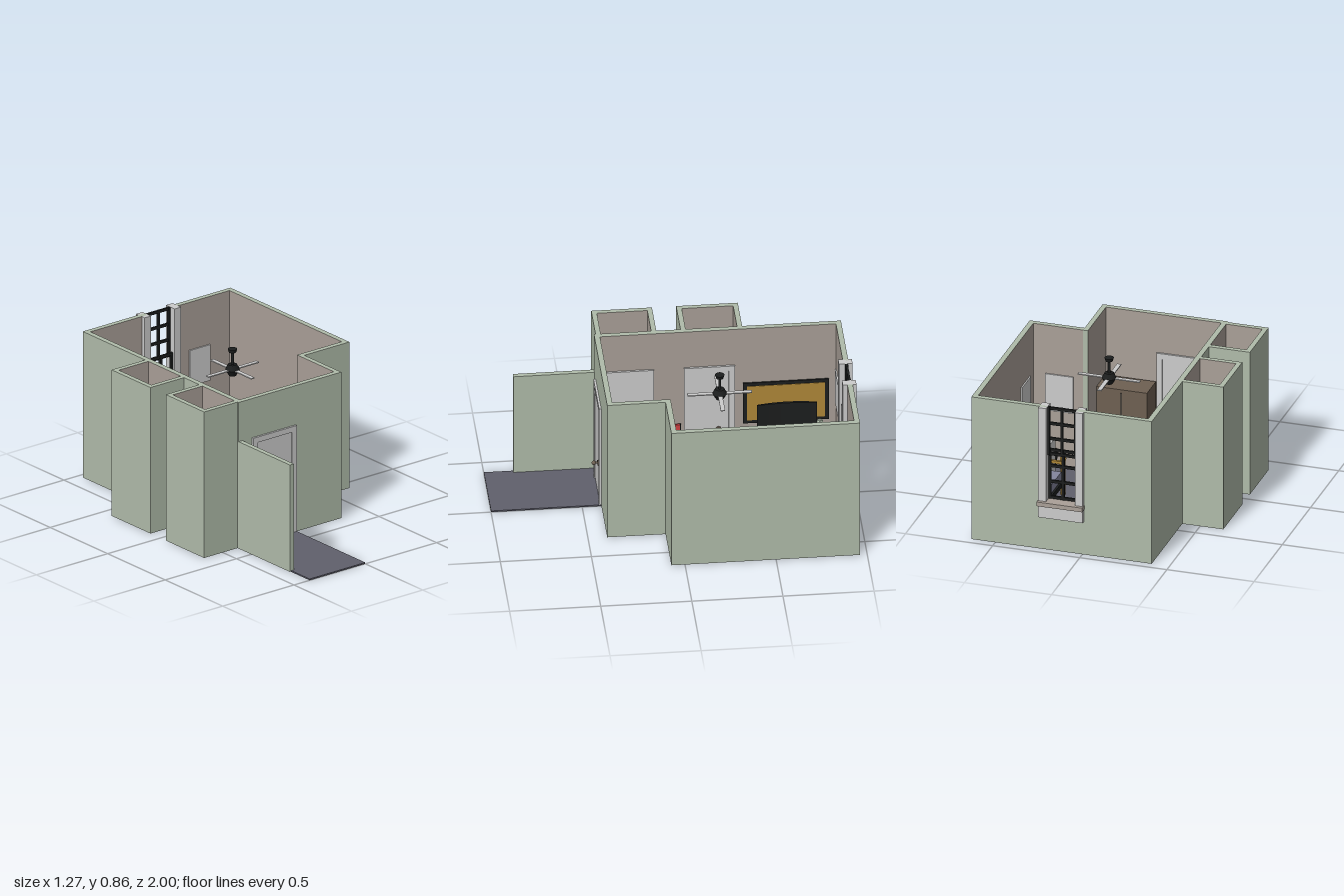
import * as THREE from 'three';

const mat = (name, color) => {
  const m = new THREE.MeshStandardMaterial({ color });
  m.name = name;
  return m;
};

export function createModel() {
  const root = new THREE.Group();
  root.name = 'room';
  const green = mat('sage wall', 0xb0bcaa), taupe = mat('taupe interior', 0xaaa098);
  const slate = mat('slate floor', 0x60606c), white = mat('pale grey', 0xcccccc);
  const black = mat('black', 0x1c1e1e), brown = mat('brown wood', 0x6e6052);
  const gold = mat('golden wood', 0xb08838), red = mat('red', 0xd04040);
  const lavender = mat('lavender', 0x84859c), grey = mat('desk grey', 0x55555d);

  const add = (name, geo, m, parent = root) => {
    const mesh = new THREE.Mesh(geo, m);
    mesh.name = name;
    parent.add(mesh);
    return mesh;
  };
  const box = (name, m, x0, x1, y0, y1, z0, z1, parent) => {
    const b = add(name, new THREE.BoxGeometry(x1 - x0, y1 - y0, z1 - z0), m, parent);
    b.position.set((x0 + x1) / 2, (y0 + y1) / 2, (z0 + z1) / 2);
    return b;
  };
  const cyl = (name, m, r0, r1, h, x, y, z, parent, seg = 20) => {
    const c = add(name, new THREE.CylinderGeometry(r0, r1, h, seg), m, parent);
    c.position.set(x, y, z);
    return c;
  };
  const group = (name) => {
    const g = new THREE.Group();
    g.name = name;
    root.add(g);
    return g;
  };

  // Floor slab with closets and entry path
  const F = 0.008, H = 0.86;
  const outline = [[-0.39, -0.95], [0.62, -0.95], [0.62, 0.065], [0.31, 0.065], [0.31, 0.385], [0, 0.385], [0, 1], [-0.39, 1],
    [-0.39, 0.376], [-0.625, 0.376], [-0.625, 0.063], [-0.39, 0.063], [-0.39, -0.09], [-0.625, -0.09], [-0.625, -0.408], [-0.39, -0.408]];
  const slab = new THREE.ExtrudeGeometry(new THREE.Shape(outline.map(([x, z]) => new THREE.Vector2(x, -z))), { depth: F, bevelEnabled: false });
  add('floor', slab.rotateX(-Math.PI / 2), slate);

  // Walls: sides listed in "inside" get the interior colour
  const sides = ['+x', '-x', '+y', '-y', '+z', '-z'];
  const wall = (name, inside, x0, x1, z0, z1, y1 = H, y0 = 0.003) =>
    box(name, sides.map((s) => (inside.includes(s) ? taupe : green)), x0, x1, y0, y1, z0, z1);
  wall('backWallRight', ['+z'], -0.37, 0.03, -0.96, -0.93);
  wall('backWallLeft', ['+z'], 0.205, 0.605, -0.96, -0.93);
  wall('backWallBelowWindow', ['+z'], 0.03, 0.205, -0.96, -0.93, 0.27);
  wall('leftWall', ['-x'], 0.605, 0.635, -0.96, 0.075);
  wall('stepWall', ['-z'], 0.32, 0.605, 0.045, 0.075);
  wall('stepSideWall', ['-x'], 0.292, 0.32, 0.045, 0.395);
  wall('frontWall', ['-z'], -0.37, 0.292, 0.365, 0.395);
  [[-0.96, -0.39], [-0.39, -0.108], [-0.108, 0.081], [0.081, 0.358], [0.358, 0.395]].forEach(([a, b], i) =>
    wall('rightWall', i % 2 ? ['+x', '-x'] : ['+x'], -0.4, -0.37, a, b));
  wall('entryWall', [], -0.4, -0.372, 0.395, 0.84, 0.63);

  // Two closets on the right side
  for (const [a, b] of [[-0.418, -0.08], [0.053, 0.386]]) {
    wall('closetOuterWall', ['+x'], -0.635, -0.607, a, b);
    wall('closetBackSide', ['+z'], -0.607, -0.4, a, a + 0.028);
    wall('closetFrontSide', ['-z'], -0.607, -0.4, b - 0.028, b);
  }

  // Doors: frame, recessed-looking leaf and knob, built facing +z
  const door = (name, w, x, z, turn) => {
    const g = group(name);
    const t = 0.034;
    box('frameLeft', white, w / 2 - t, w / 2, F, 0.63, 0, 0.012, g);
    box('frameRight', white, -w / 2, -w / 2 + t, F, 0.63, 0, 0.012, g);
    box('frameTop', white, -w / 2 + t, w / 2 - t, 0.598, 0.63, 0, 0.012, g);
    box('leaf', white, -w / 2 + t, w / 2 - t, F, 0.598, 0, 0.006, g);
    const kx = w / 2 - 0.09;
    cyl('knobPlate', brown, 0.015, 0.015, 0.006, kx, 0.225, 0.009, g).rotation.x = Math.PI / 2;
    cyl('knobStem', brown, 0.006, 0.006, 0.02, kx, 0.225, 0.02, g).rotation.x = Math.PI / 2;
    add('knob', new THREE.SphereGeometry(0.012, 16, 12), brown, g).position.set(kx, 0.225, 0.032);
    g.position.set(x, 0, z);
    g.rotation.y = turn;
  };
  door('frontDoor', 0.306, -0.154, 0.395, 0);
  door('frontDoorInside', 0.306, -0.154, 0.365, Math.PI);
  door('closetDoorBack', 0.28, -0.37, -0.235, Math.PI / 2);
  door('closetDoorFront', 0.28, -0.37, 0.21, Math.PI / 2);

  // Window with sills and two barred sashes
  const win = group('window');
  for (const x of [-0.01, 0.2]) box('windowPost', white, x, x + 0.045, 0.27, H, -0.98, -0.905, win);
  box('windowApron', white, -0.01, 0.245, 0.2, 0.275, -0.98, -0.96, win);
  box('windowSill', taupe, -0.013, 0.248, 0.275, 0.3, -1, -0.89, win);
  for (const [y0, y1, z] of [[0.3, 0.6, -0.935], [0.57, H, -0.955]]) {
    for (const x of [0.035, 0.112, 0.187]) box('sashUpright', black, x, x + 0.014, y0, y1, z, z + 0.016, win);
    for (let i = 0; i < 4; i++) {
      const y = y0 + (y1 - y0 - 0.016) * i / 3;
      box('sashRail', black, 0.035, 0.2, y, y + 0.016, z + 0.002, z + 0.014, win);
    }
  }
  box('heater', white, -0.08, 0.27, F, 0.2, -0.91, -0.835);

  // Wall posters and pin board
  box('posterBackRight', white, -0.35, -0.19, 0.37, 0.58, -0.93, -0.922);
  box('posterBackLeft', white, 0.32, 0.465, 0.37, 0.58, -0.93, -0.922);
  box('posterStep', white, 0.375, 0.535, 0.35, 0.57, 0.037, 0.045);
  box('posterLeft', white, 0.597, 0.605, 0.35, 0.57, -0.17, -0.02);
  box('pinBoardFrame', black, -0.37, -0.362, 0.25, 0.51, -0.89, -0.42);
  box('pinBoard', gold, -0.362, -0.359, 0.27, 0.49, -0.87, -0.44);

  // Bed with corner posts
  const bed = group('bed');
  box('bedFrame', black, 0.325, 0.585, 0.07, 0.1, -0.885, -0.27, bed);
  box('mattress', lavender, 0.337, 0.573, 0.1, 0.15, -0.87, -0.285, bed);
  for (const z of [-0.888, -0.268]) {
    for (const x of [0.333, 0.577]) {
      cyl('bedPost', gold, 0.013, 0.013, 0.21, x, F + 0.105, z, bed);
      add('postCap', new THREE.SphereGeometry(0.018, 16, 10), gold, bed).position.set(x, 0.222, z);
    }
    for (const y of [0.12, 0.19]) box('bedRail', gold, 0.333, 0.577, y, y + 0.016, z - 0.008, z + 0.008, bed);
  }

  // Desk with screen, keyboard and small items
  const desk = group('desk');
  box('deskTop', grey, -0.355, -0.115, 0.205, 0.22, -0.865, -0.47, desk);
  for (const x of [-0.35, -0.135]) for (const z of [-0.86, -0.49]) box('deskLeg', grey, x, x + 0.015, F, 0.205, z, z + 0.015, desk);
  const arc = new THREE.Shape();
  arc.moveTo(-0.31, -0.165).quadraticCurveTo(-0.345, 0, -0.31, 0.165);
  arc.lineTo(-0.302, 0.165).quadraticCurveTo(-0.325, 0, -0.302, -0.165);
  const screen = new THREE.ExtrudeGeometry(arc, { depth: 0.15, bevelEnabled: false, curveSegments: 10 }).rotateX(-Math.PI / 2);
  add('screen', screen, black, desk).position.set(0, 0.25, -0.655);
  box('screenStand', black, -0.345, -0.32, 0.22, 0.3, -0.67, -0.64, desk);
  box('keyboard', black, -0.255, -0.17, 0.22, 0.23, -0.755, -0.63, desk);
  box('notebook', lavender, -0.205, -0.14, 0.22, 0.235, -0.56, -0.505, desk);
  cyl('cup', white, 0.014, 0.012, 0.03, -0.2, 0.235, -0.79, desk);
  cyl('penPot', gold, 0.01, 0.01, 0.035, -0.24, 0.237, -0.84, desk);
  cyl('plantPot', white, 0.02, 0.015, 0.03, -0.31, 0.235, -0.835, desk);
  add('plant', new THREE.IcosahedronGeometry(0.022, 0), green, desk).position.set(-0.31, 0.265, -0.835);

  // Chairs, backrest on local +x
  const chair = (x, z, turn) => {
    const g = group('chair');
    box('seat', red, -0.055, 0.05, 0.13, 0.148, -0.058, 0.058, g);
    box('backrest', red, 0.038, 0.05, 0.2, 0.28, -0.05, 0.05, g);
    for (const s of [-0.052, 0.052]) {
      box('rearLeg', black, 0.04, 0.052, F, 0.28, s - 0.006, s + 0.006, g);
      box('frontLeg', black, -0.05, -0.038, F, 0.13, s - 0.006, s + 0.006, g);
    }
    g.position.set(x, 0, z);
    g.rotation.y = turn;
  };
  chair(-0.03, -0.66, 0);
  chair(-0.3, -0.02, Math.PI);

  // Dresser
  const dresser = group('dresser');
  box('dresserBody', brown, 0, 0.29, F, 0.46, 0.19, 0.35, dresser);
  for (const x of [0.128, 0.16]) box('dresserHandle', black, x, x + 0.008, 0.22, 0.3, 0.17, 0.19, dresser);
  box('doorGap', black, 0.146, 0.15, 0.03, 0.44, 0.188, 0.19, dresser);

  // Small fridge
  const fridge = group('fridge');
  box('fridgeBody', black, 0.455, 0.57, F, 0.25, -0.23, -0.08, fridge);
  box('fridgeDoor', white, 0.438, 0.455, F + 0.01, 0.25, -0.23, -0.08, fridge);

  // Oval basket
  const profile = [[0, 0], [0.06, 0], [0.08, 0.13], [0.062, 0.13], [0.05, 0.01], [0, 0.01]].map(([r, y]) => new THREE.Vector2(r, y));
  const basket = add('basket', new THREE.LatheGeometry(profile, 28), black);
  basket.position.set(0.522, F, -0.017);
  basket.scale.z = 0.68;
  const liner = cyl('basketLiner', slate, 0.054, 0.054, 0.006, 0.522, 0.06, -0.017);
  liner.scale.z = 0.68;

  // Ceiling fan
  const fan = group('ceilingFan');
  cyl('fanMount', black, 0.026, 0.02, 0.02, 0, 0.85, 0, fan);
  cyl('fanRod', black, 0.008, 0.008, 0.1, 0, 0.8, 0, fan);
  cyl('fanMotor', black, 0.025, 0.04, 0.03, 0, 0.755, 0, fan);
  cyl('fanHub', black, 0.04, 0.02, 0.035, 0, 0.722, 0, fan);
  for (let i = 0; i < 4; i++) {
    const arm = new THREE.Group();
    arm.name = 'fanArm';
    box('fanBlade', white, 0.035, 0.177, 0.737, 0.743, -0.012, 0.012, arm);
    arm.rotation.y = i * Math.PI / 2;
    fan.add(arm);
  }
  fan.position.set(0.075, 0, -0.247);
  return root;
}
